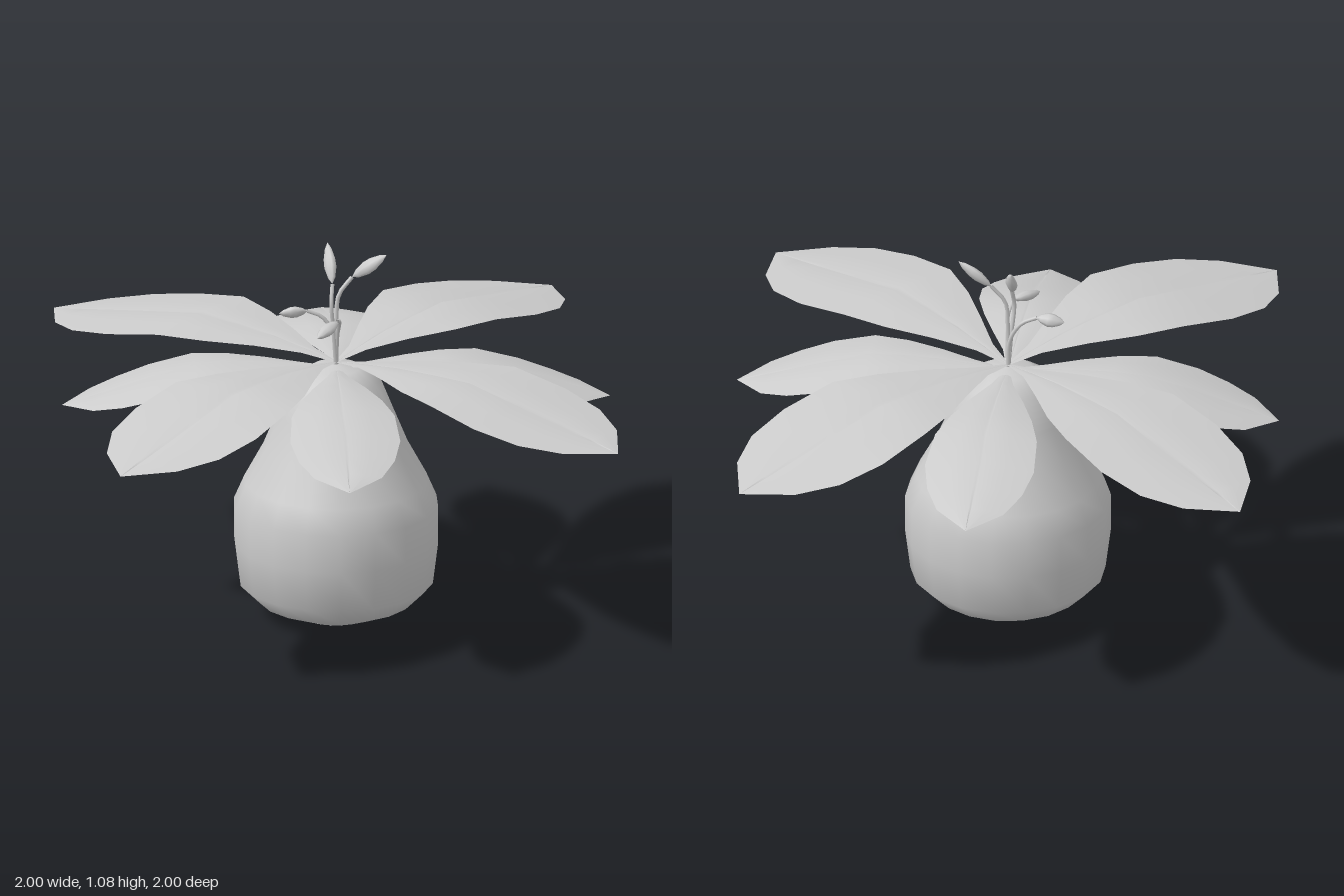
import * as THREE from 'three';

const material = new THREE.MeshStandardMaterial({ color: 0xcccccc, side: THREE.DoubleSide });

function addMesh(parent, name, geometry) {
  const mesh = new THREE.Mesh(geometry, material);
  mesh.name = name;
  parent.add(mesh);
  return mesh;
}

// Leaf along +z. Each station is [distance, half width, height].
function leafGeometry(stations, droop) {
  const across = [-1, -0.5, -0.04, 0, 0.04, 0.5, 1];
  const positions = [], index = [], n = across.length;
  stations.forEach(([u, w, y], i) => {
    for (const s of across) {
      // Edges bend down a little; the midrib is a shallow groove
      const groove = s === 0 ? 0.05 * w : 0;
      positions.push(s * w, y - droop * s * s * w - groove, u);
    }
    if (i === 0) return;
    for (let j = 0; j < n - 1; j++) {
      const a = (i - 1) * n + j, b = i * n + j;
      index.push(a, b, b + 1, a, b + 1, a + 1);
    }
  });
  const geometry = new THREE.BufferGeometry();
  geometry.setAttribute('position', new THREE.Float32BufferAttribute(positions, 3));
  geometry.setIndex(index);
  geometry.computeVertexNormals();
  return geometry;
}

// Curved stem with a pointed bud leaf from its end to the tip
function addSprout(parent, path, tip) {
  const points = path.map(p => new THREE.Vector3(...p));
  const base = points[points.length - 1];
  const end = new THREE.Vector3(...tip);
  const curve = new THREE.CatmullRomCurve3(points);
  addMesh(parent, 'sproutStem', new THREE.TubeGeometry(curve, 12, 0.006, 6));

  const length = base.distanceTo(end);
  const profile = [[0, 0], [0.012, 0.15], [0.02, 0.4], [0.019, 0.6], [0.011, 0.85], [0, 1]]
    .map(([r, t]) => new THREE.Vector2(r, t * length));
  const leaf = addMesh(parent, 'sproutLeaf', new THREE.LatheGeometry(profile, 8));
  leaf.scale.z = 0.7;
  leaf.position.copy(base);
  leaf.quaternion.setFromUnitVectors(new THREE.Vector3(0, 1, 0), end.sub(base).normalize());
}

export function createModel() {
  const model = new THREE.Group();
  model.name = 'bulbPlant';

  // Pear-shaped bulb with a flat underside
  const bulbProfile = [
    [0.11, 0], [0.22, 0.045], [0.275, 0.1], [0.29, 0.22], [0.29, 0.33], [0.26, 0.4],
    [0.206, 0.5], [0.165, 0.6], [0.125, 0.7], [0.07, 0.735], [0, 0.745],
  ].map(p => new THREE.Vector2(...p));
  addMesh(model, 'bulb', new THREE.LatheGeometry(bulbProfile, 18));
  addMesh(model, 'bulbBase', new THREE.CircleGeometry(0.11, 18).rotateX(Math.PI / 2));

  // Four long leaves on the axes, four short ones between them
  const longLeaf = leafGeometry([
    [0, 0.004, 0.75], [0.1, 0.03, 0.765], [0.22, 0.09, 0.78], [0.35, 0.155, 0.788],
    [0.48, 0.2, 0.793], [0.65, 0.213, 0.762], [0.79, 0.19, 0.735], [0.9, 0.125, 0.713],
    [1, 0, 0.693],
  ], 0.05);
  const shortLeaf = leafGeometry([
    [0, 0.004, 0.735], [0.1, 0.03, 0.745], [0.2, 0.075, 0.752], [0.3, 0.115, 0.755],
    [0.4, 0.145, 0.75], [0.52, 0.155, 0.717], [0.61, 0.135, 0.688], [0.69, 0.095, 0.662],
    [0.773, 0, 0.635],
  ], 0.13);
  for (let i = 0; i < 4; i++) {
    const turn = i * Math.PI / 2;
    addMesh(model, 'longLeaf', longLeaf).rotation.y = turn;
    addMesh(model, 'shortLeaf', shortLeaf).rotation.y = turn + Math.atan2(0.5, 0.59);
  }

  // Sprout in the centre
  const sprout = new THREE.Group();
  sprout.name = 'sprout';
  addSprout(sprout, [[0, 0.73, 0], [0.002, 0.85, 0.015], [0.004, 0.93, 0.027], [-0.005, 0.985, 0.01]],
    [-0.065, 1.08, -0.045]);
  addSprout(sprout, [[0, 0.73, 0], [0.003, 0.87, 0.002], [0.006, 0.95, -0.005], [0.03, 1, -0.035]],
    [0.11, 1.068, -0.09]);
  addSprout(sprout, [[0, 0.73, 0], [-0.005, 0.83, 0.003], [-0.03, 0.885, 0.025], [-0.06, 0.905, 0.055]],
    [-0.122, 0.897, 0.105]);
  addSprout(sprout, [[0, 0.73, 0], [0.008, 0.83, 0.005], [0.035, 0.885, 0.03], [0.062, 0.905, 0.075]],
    [0.075, 0.888, 0.185]);
  model.add(sprout);

  return model;
}
